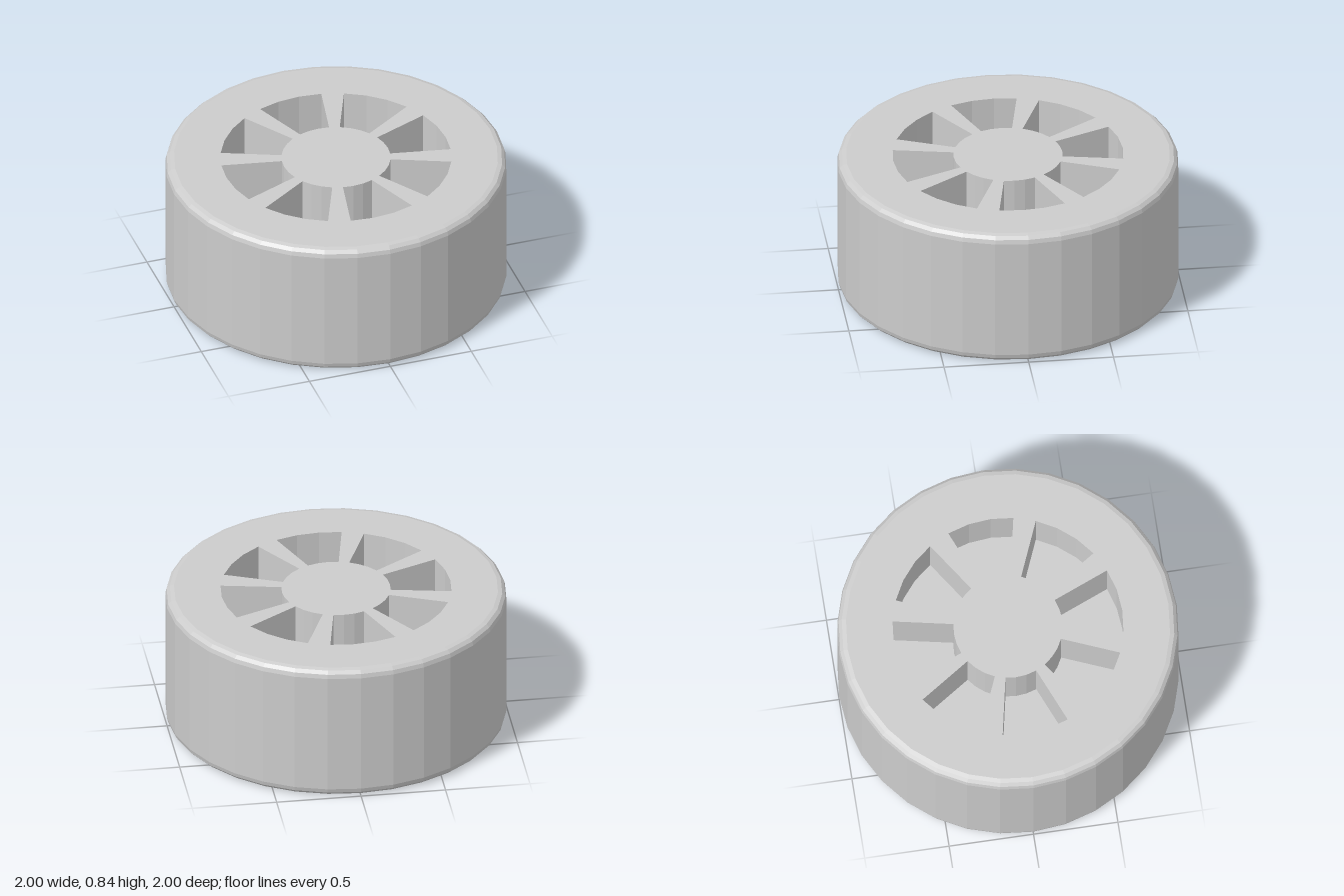
import * as THREE from 'three';

const HEIGHT = 0.84, SIDES = 32, STEP = (Math.PI * 2) / SIDES;
const BEVEL = 0.05, POCKET_DEPTH = 0.32;
const HUB_RADIUS = 0.32, RIM_RADIUS = 0.677;

// Point on a circle, counted in facet steps from the front towards +x
const onCircle = (r, i) => new THREE.Vector2(r * Math.sin(i * STEP), -r * Math.cos(i * STEP));

const arc = (r, from, to) => {
  const points = [], dir = Math.sign(to - from);
  for (let i = from; i !== to + dir; i += dir) points.push(onCircle(r, i));
  return points;
};

// Round plate with an optional ring of eight wedge openings, lying flat at height y
function plate(name, radius, y, depth, openings, material) {
  const shape = new THREE.Shape(arc(radius, 0, SIDES - 1));
  if (openings) {
    for (let k = 0; k < 8; k++) {
      const start = k * 4 - 1; // three facets open, one facet of spoke
      shape.holes.push(new THREE.Path([
        ...arc(RIM_RADIUS, start, start + 3),
        ...arc(HUB_RADIUS, start + 3, start),
      ]));
    }
  }
  const geometry = new THREE.ExtrudeGeometry(shape, { depth, bevelEnabled: false });
  geometry.rotateX(-Math.PI / 2).translate(0, y, 0);
  const mesh = new THREE.Mesh(geometry, material);
  mesh.name = name;
  return mesh;
}

export function createModel() {
  const group = new THREE.Group();
  group.name = 'wheel';
  const grey = new THREE.MeshStandardMaterial({ color: 0xcccccc, flatShading: true });
  grey.name = 'light grey';

  // Tread with rounded shoulders
  const profile = [];
  for (const [y, first] of [[BEVEL, -90], [HEIGHT - BEVEL, 0]]) {
    for (let s = 0; s <= 3; s++) {
      const a = THREE.MathUtils.degToRad(first + s * 30);
      profile.push(new THREE.Vector2(1 - BEVEL + BEVEL * Math.cos(a), y + BEVEL * Math.sin(a)));
    }
  }
  const tread = new THREE.Mesh(new THREE.LatheGeometry(profile, SIDES), grey);
  tread.name = 'tread';
  group.add(tread);

  // Spoked faces on both sides, with a solid web closing the pockets between them
  const inner = 1 - BEVEL;
  group.add(
    plate('lowerSpokes', inner, 0, POCKET_DEPTH, true, grey),
    plate('web', inner, POCKET_DEPTH, HEIGHT - 2 * POCKET_DEPTH, false, grey),
    plate('upperSpokes', inner, HEIGHT - POCKET_DEPTH, POCKET_DEPTH, true, grey),
  );
  return group;
}
